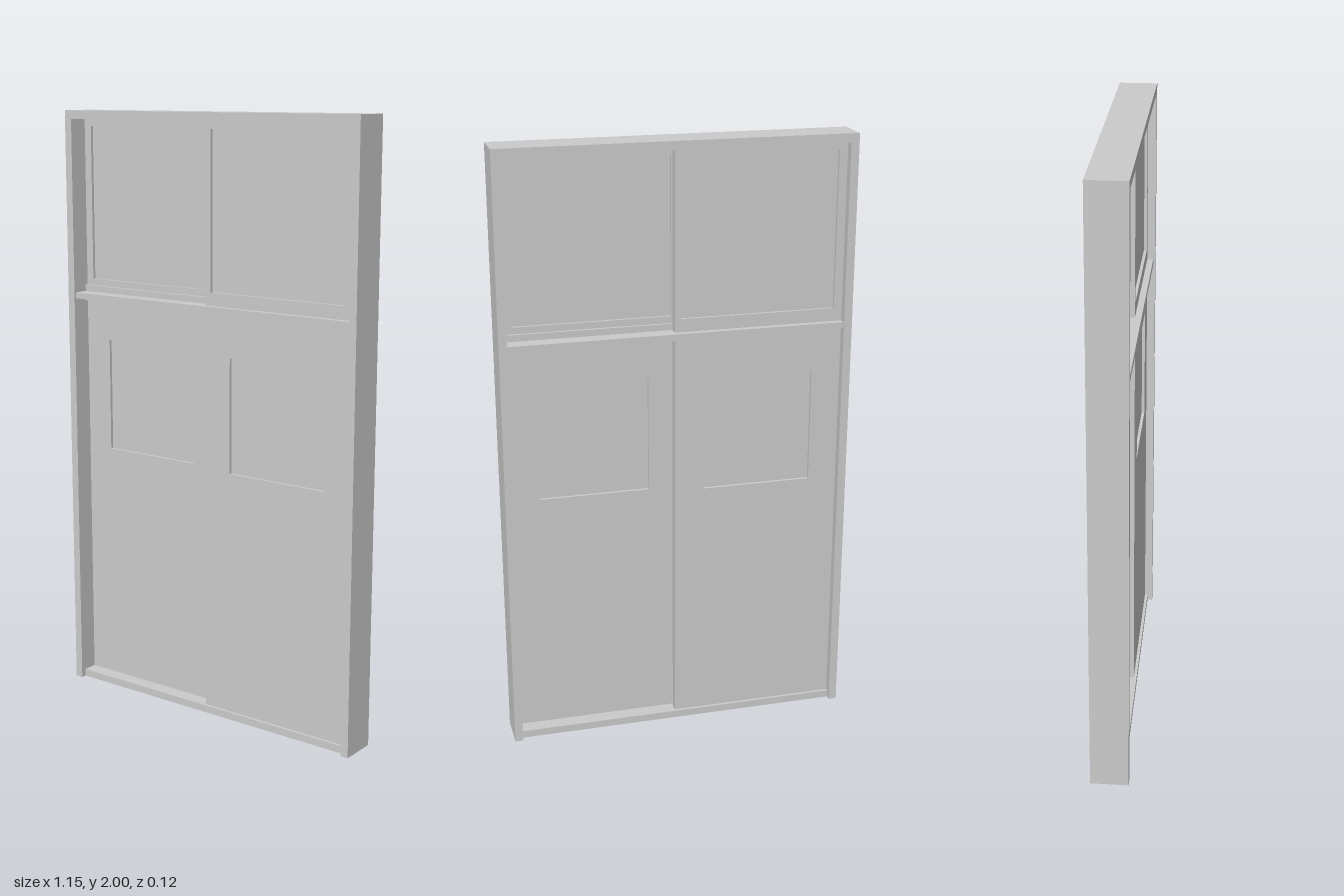
import * as THREE from 'three';

const material = new THREE.MeshStandardMaterial({ color: 0xcccccc });

// Box given by its extents on each axis
function box(name, x0, x1, y0, y1, z0, z1) {
  const mesh = new THREE.Mesh(new THREE.BoxGeometry(x1 - x0, y1 - y0, z1 - z0), material);
  mesh.name = name;
  mesh.position.set((x0 + x1) / 2, (y0 + y1) / 2, (z0 + z1) / 2);
  return mesh;
}

// Flat slab in the xy plane with one rectangular opening
function slabWithOpening(name, [x0, x1, y0, y1], [a0, a1, b0, b1], z0, z1) {
  const shape = new THREE.Shape();
  shape.moveTo(x0, y0).lineTo(x1, y0).lineTo(x1, y1).lineTo(x0, y1).closePath();
  const hole = new THREE.Path();
  hole.moveTo(a0, b0).lineTo(a0, b1).lineTo(a1, b1).lineTo(a1, b0).closePath();
  shape.holes.push(hole);
  const geometry = new THREE.ExtrudeGeometry(shape, { depth: z1 - z0, bevelEnabled: false });
  geometry.translate(0, 0, z0);
  const mesh = new THREE.Mesh(geometry, material);
  mesh.name = name;
  return mesh;
}

// Slab whose opening is filled by a thinner, recessed pane
function glazedPanel(name, outer, opening, z0, z1, recess) {
  const group = new THREE.Group();
  group.name = name;
  group.add(slabWithOpening(name + 'Surround', outer, opening, z0, z1));
  group.add(box(name + 'Pane', ...opening, z0 + recess, z1 - recess));
  return group;
}

export function createModel() {
  const model = new THREE.Group();
  model.name = 'slidingDoor';

  const W = 0.575, H = 2, D = 0.0625; // half width, height, half depth
  const inner = 0.548, headY = 1.972, sillY = 0.025;

  // Outer frame
  const frame = new THREE.Group();
  frame.name = 'frame';
  frame.add(box('rightJamb', -W, -inner, 0, H, -D, D));
  frame.add(box('leftJamb', inner, W, 0, H, -D, D));
  frame.add(box('head', -inner, inner, headY, H, -D, D));
  frame.add(box('sill', -inner, inner, 0, sillY, -0.045, 0.045));
  model.add(frame);

  // Transom rail: a wide lip on a taller core between the two tracks
  const transom = new THREE.Group();
  transom.name = 'transom';
  transom.add(box('transomLip', -inner, inner, 1.372, 1.392, -0.056, 0.056));
  transom.add(box('transomCore', -inner, inner, 1.36, 1.413, -0.005, 0.005));
  model.add(transom);

  // One leaf and one window sash per track; the second pair is the first turned half round
  for (const [name, angle] of [['front', 0], ['back', Math.PI]]) {
    const track = new THREE.Group();
    track.name = name + 'Track';
    track.add(glazedPanel('doorLeaf',
      [-0.01, inner, sillY, 1.372], [0.088, 0.452, 0.848, 1.23], 0.005, 0.035, 0.01));
    track.add(glazedPanel('windowSash',
      [-0.01, inner, 1.392, headY], [0.012, 0.521, 1.435, 1.948], 0.005, 0.035, 0.01));
    track.rotation.y = angle;
    model.add(track);
  }

  return model;
}
